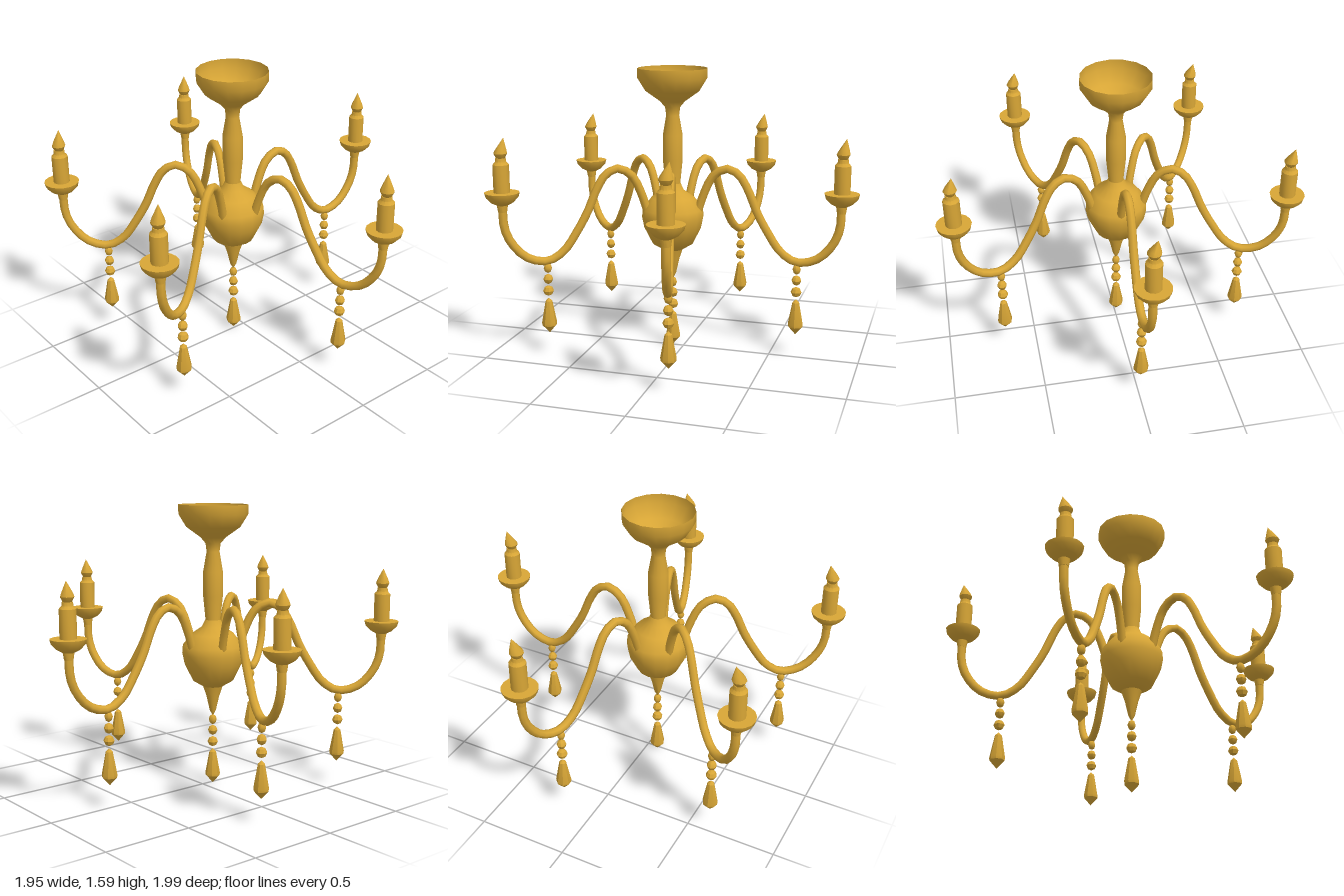
import * as THREE from 'three';
import { toCreasedNormals } from 'three/addons/utils/BufferGeometryUtils.js';

const gold = new THREE.MeshStandardMaterial({ color: 0xd8a636, side: THREE.DoubleSide });
gold.name = 'antique gold';

const points = (list) => list.map(([r, y]) => new THREE.Vector2(r, y));

// Turned part from a bottom-to-top profile of [radius, height]
function turned(name, profile, sides, crease = 0.7) {
  const geometry = new THREE.LatheGeometry(points(profile), sides);
  const mesh = new THREE.Mesh(toCreasedNormals(geometry, crease), gold);
  mesh.name = name;
  return mesh;
}

// Three beads above a drop; the tip of the drop is at the origin
function crystalString() {
  const group = new THREE.Group();
  group.name = 'crystalString';
  [[0.375, 0.023], [0.312, 0.027], [0.245, 0.03]].forEach(([y, r]) => {
    const bead = turned('bead', [[0, -0.03], [r * 0.7, -0.02], [r, 0], [r * 0.7, 0.02], [0, 0.03]], 8);
    bead.position.y = y;
    group.add(bead);
  });
  group.add(turned('drop', [[0, 0], [0.04, 0.045], [0.042, 0.06], [0.019, 0.185], [0, 0.203]], 8, 0.5));
  return group;
}

// Dish, candle and flame, at their real height
function candle() {
  const group = new THREE.Group();
  group.name = 'candleHolder';
  group.add(turned('dish', [
    [0, 0.83], [0.024, 0.835], [0.03, 0.873], [0.062, 0.89], [0.088, 0.918], [0.095, 0.943], [0, 0.943],
  ], 16));
  group.add(turned('candle', [
    [0.044, 0.94], [0.044, 1.095], [0.03, 1.11], [0.028, 1.13], [0, 1.13],
  ], 12));
  const flame = turned('flame', [
    [0, 1.12], [0.024, 1.13], [0.037, 1.155], [0.03, 1.175], [0.016, 1.205], [0, 1.238],
  ], 10);
  // Lean the tip of the flame to one side
  const p = flame.geometry.attributes.position;
  for (let i = 0; i < p.count; i++) {
    const t = Math.max(0, (p.getY(i) - 1.16) / 0.078);
    p.setX(i, p.getX(i) + 0.014 * t);
    p.setZ(i, p.getZ(i) - 0.014 * t);
  }
  group.add(flame);
  return group;
}

// S-shaped arm running out along +x, with its candle and crystals
function arm() {
  const group = new THREE.Group();
  group.name = 'arm';
  const path = new THREE.CatmullRomCurve3([
    [0.14, 0.775], [0.18, 0.9], [0.235, 1.005], [0.31, 1.046], [0.375, 1.018], [0.425, 0.945],
    [0.483, 0.81], [0.545, 0.7], [0.62, 0.595], [0.71, 0.545], [0.82, 0.572], [0.9, 0.655],
    [0.937, 0.745], [0.943, 0.87],
  ].map(([x, y]) => new THREE.Vector3(x, y, 0)));
  const tube = new THREE.Mesh(new THREE.TubeGeometry(path, 30, 0.0235, 8), gold);
  tube.name = 'armTube';
  group.add(tube);
  const holder = candle();
  holder.position.x = 0.943;
  group.add(holder);
  const crystals = crystalString();
  crystals.position.set(0.71, 0.13, 0);
  group.add(crystals);
  return { group, holder };
}

export function createModel() {
  const model = new THREE.Group();
  model.name = 'chandelier';
  const centre = new THREE.Group();
  centre.name = 'chandelierBody';
  centre.position.set(-0.065, 0, -0.012);
  model.add(centre);

  // Open ceiling bowl, stem and bulb with pointed finial
  centre.add(turned('ceilingBowlAndStem', [
    [0.045, 0.9], [0.042, 0.95], [0.055, 1.08], [0.055, 1.22], [0.036, 1.33], [0.042, 1.375],
    [0.07, 1.408], [0.15, 1.465], [0.193, 1.535], [0.193, 1.588],
  ], 16, 0.9));
  centre.add(turned('bulb', [
    [0.056, 0.57], [0.115, 0.605], [0.162, 0.7], [0.174, 0.76], [0.17, 0.805], [0.12, 0.87],
    [0.062, 0.91], [0.043, 0.95],
  ], 16, 0.9));
  centre.add(turned('finial', [[0, 0.395], [0.018, 0.43], [0.036, 0.51], [0.058, 0.575]], 16, 0.9));
  centre.add(crystalString());

  // Five arms, slightly unevenly spaced; flames all lean the same way
  [0, 70.4, 140.3, 210.2, 285].forEach((degrees) => {
    const { group, holder } = arm();
    const angle = THREE.MathUtils.degToRad(degrees);
    group.rotation.y = angle;
    holder.rotation.y = -angle;
    centre.add(group);
  });
  return model;
}
